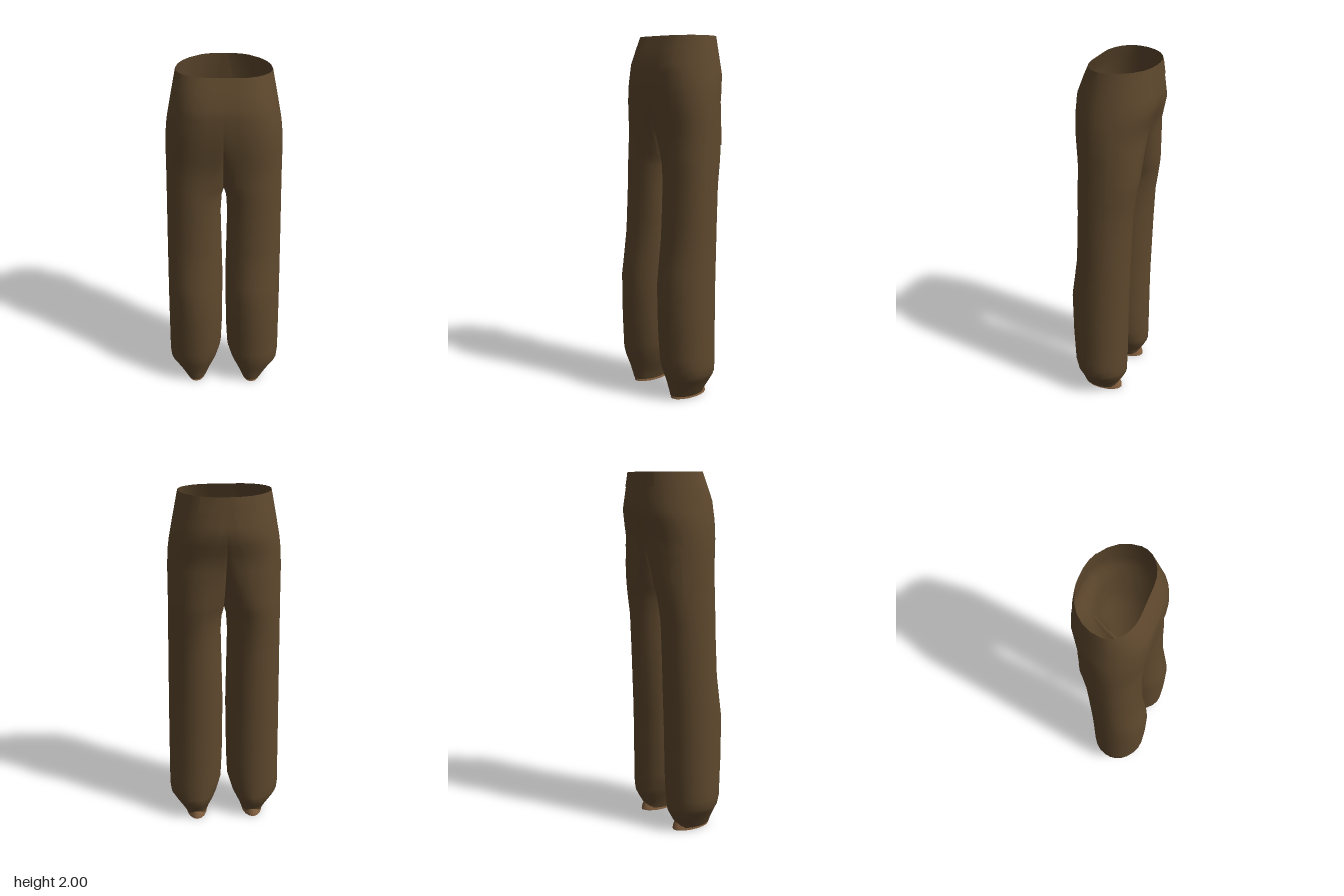
import * as THREE from 'three';
import { mergeVertices } from 'three/addons/utils/BufferGeometryUtils.js';

// Profiles as [height, value], from waist to hem
const outerX = [[2, .245], [1.85, .275], [1.72, .3], [1.6, .308], [1.4, .31], [1, .318], [.6, .325], [.2, .33], [.15, .325], [.08, .28], [.015, .24]];
const innerX = [[1.34, 0], [1.3, .012], [1.2, .018], [.75, .008], [.4, .013], [.25, .02], [.15, .048], [.06, .088], [.015, .105]];
const frontZ = [[2, .125], [1.93, .155], [1.85, .185], [1.75, .19], [1.65, .185], [1.48, .166], [1.15, .17], [.9, .182], [.65, .22], [.4, .216], [.2, .205], [.08, .172], [.015, .16]];
const backZ = [[2, -.205], [1.8, -.22], [1.65, -.178], [1.4, -.165], [1.2, -.135], [1, -.125], [.6, -.11], [.12, -.105], [.08, -.085], [.04, -.062], [.015, -.06]];
const frontX = [[2, .08], [1.8, .1], [1.5, .14], [1.33, .16], [.015, .17]]; // x of the foremost point
const backX = [[2, .02], [1.8, .06], [1.6, .12], [1.33, .16], [.015, .17]];
const midZ = [[2, 0], [1.7, .015], [1.34, .03], [.6, .05], [.015, .05]];
// Centre seam: front and back edges close in until they meet at the crotch
const seamFront = [[2, .125], [1.93, .155], [1.85, .185], [1.75, .188], [1.65, .18], [1.55, .155], [1.45, .115], [1.38, .08], [1.34, .05]];
const seamBack = [[2, -.205], [1.8, -.22], [1.7, -.185], [1.6, -.145], [1.5, -.09], [1.4, -.015], [1.34, .05]];

function at(profile, y) {
  if (y >= profile[0][0]) return profile[0][1];
  for (let i = 1; i < profile.length; i++) {
    const [y0, v0] = profile[i - 1], [y1, v1] = profile[i];
    if (y >= y1) return v0 + (v1 - v0) * (y0 - y) / (y0 - y1);
  }
  return profile[profile.length - 1][1];
}

// Point on the +x half: u 0 centre front, 1 leg front, 2 outside, 3 leg back, 4 centre back
function surface(u, y) {
  const quarter = Math.min(3, Math.floor(u));
  const s = Math.sin((u - quarter) * Math.PI / 2), c = Math.cos((u - quarter) * Math.PI / 2);
  const X = at(outerX, y), xi = at(innerX, y), zc = at(midZ, y);
  const xf = at(frontX, y), xb = at(backX, y), F = at(frontZ, y), B = at(backZ, y);
  const zf = at(seamFront, y), zb = at(seamBack, y);
  if (quarter === 0) return new THREE.Vector3(xi + (xf - xi) * (1 - c), y, zf + (F - zf) * s);
  if (quarter === 1) return new THREE.Vector3(xf + (X - xf) * s, y, zc + (F - zc) * c);
  if (quarter === 2) return new THREE.Vector3(xb + (X - xb) * c, y, zc + (B - zc) * s);
  return new THREE.Vector3(xi + (xb - xi) * (1 - s), y, zb + (B - zb) * c);
}

// Surface point pushed outwards a little, for sewn-on patches
function raised(u, y, offset) {
  const p = surface(u, y);
  if (!offset) return p;
  const t = surface(Math.min(4, u + .02), y).sub(surface(Math.max(0, u - .02), y)).normalize();
  return p.add(new THREE.Vector3(-t.z * offset, 0, t.x * offset));
}

// Lofts the given u and y range, on one or both sides (+1, -1)
function loft(us, ys, sides, offset = 0) {
  const positions = [], index = [];
  for (const side of sides) {
    const start = positions.length / 3;
    for (const y of ys) for (const u of us) {
      const p = raised(u, y, offset);
      positions.push(side * p.x, p.y, p.z);
    }
    for (let i = 0; i < ys.length - 1; i++) for (let j = 0; j < us.length - 1; j++) {
      const a = start + i * us.length + j, b = a + 1, c = a + us.length, d = c + 1;
      if (side > 0) index.push(a, c, b, b, c, d);
      else index.push(a, b, c, b, d, c);
    }
  }
  let geometry = new THREE.BufferGeometry();
  geometry.setAttribute('position', new THREE.Float32BufferAttribute(positions, 3));
  geometry.setIndex(index);
  geometry = mergeVertices(geometry, 1e-4);
  geometry.computeVertexNormals();
  return geometry;
}

const range = (a, b, n) => Array.from({ length: n + 1 }, (_, i) => a + (b - a) * i / n);

export function createModel() {
  const model = new THREE.Group();
  const cloth = new THREE.MeshStandardMaterial({ color: 0x5e482d, side: THREE.DoubleSide });
  cloth.name = 'brown cloth';
  const cuffCloth = new THREE.MeshStandardMaterial({ color: 0x84603f, side: THREE.DoubleSide });
  cuffCloth.name = 'light brown cuff';

  function add(name, geometry, material) {
    const mesh = new THREE.Mesh(geometry, material);
    mesh.name = name;
    model.add(mesh);
    return mesh;
  }

  // Hips and both legs in one skin
  const heights = [2, 1.93, 1.85, 1.8, 1.75, 1.7, 1.65, 1.6, 1.55, 1.5, 1.45, 1.4, 1.37, 1.34, 1.3, 1.2, 1.1, 1,
    .9, .75, .65, .5, .4, .25, .2, .15, .12, .08, .06, .04, .015];
  add('trousers', loft(range(0, 4, 24), heights, [1, -1]), cloth);

  // Panel across the back of the waist
  add('backWaistPanel', loft(range(2.67, 4, 10), [2, 1.96, 1.92], [1, -1], .003), cloth);

  for (const side of [1, -1]) {
    const label = side > 0 ? 'left' : 'right';
    // Pocket strip and its tab behind the hip
    add(label + 'PocketStrip', loft(range(2.25, 2.42, 3), range(1.61, 1.33, 6), [side], .003), cloth);
    add(label + 'PocketTab', loft(range(2.42, 2.62, 3), range(1.52, 1.42, 3), [side], .003), cloth);

    // Ankle cuff showing below the hem
    const cuff = add(label + 'AnkleCuff', new THREE.LatheGeometry(
      [[.062, 0], [.06, .02], [.054, .045]].map(([r, y]) => new THREE.Vector2(r, y)), 16), cuffCloth);
    cuff.scale.z = 1.9;
    cuff.position.set(side * .171, 0, .04);
  }
  return model;
}
